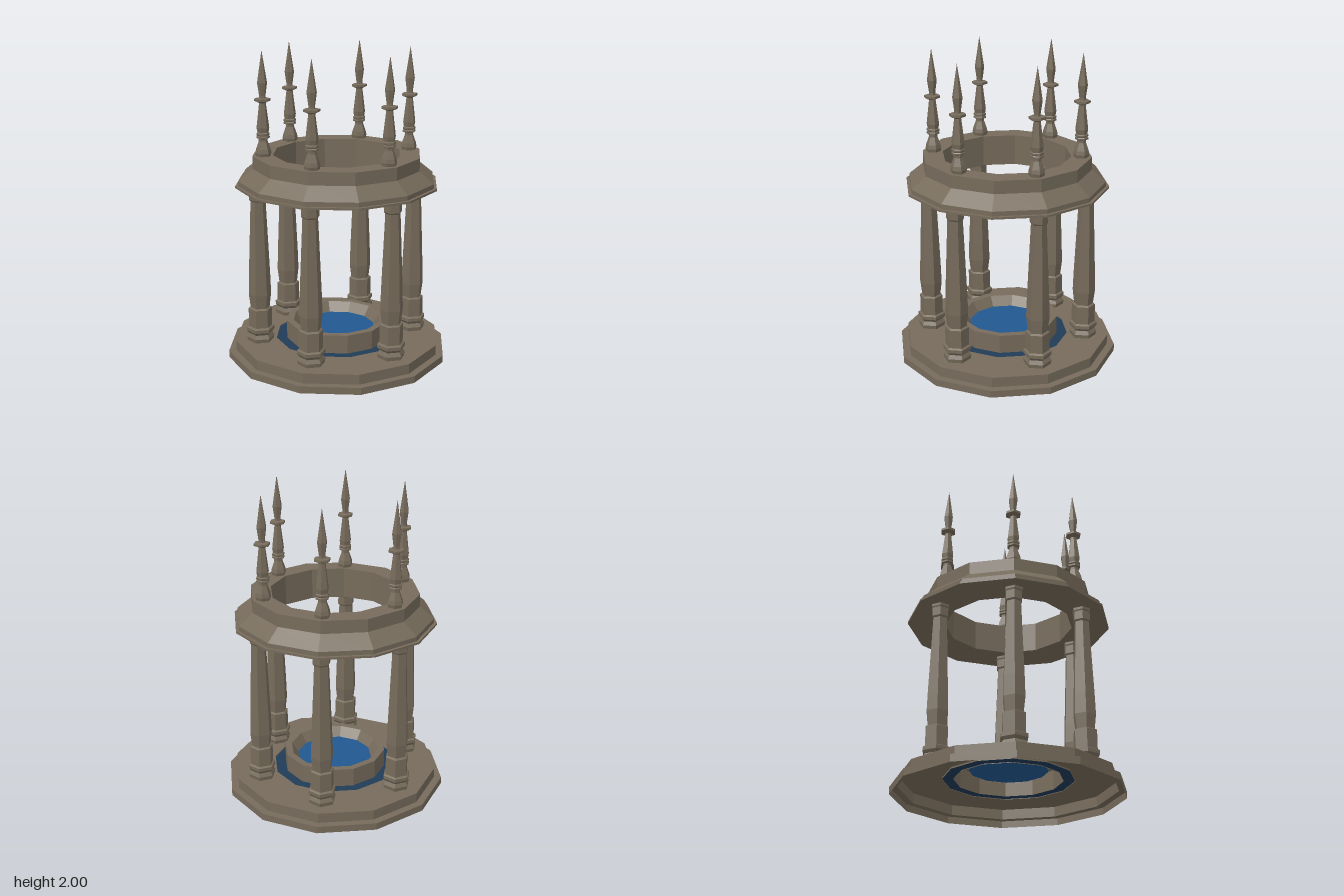
import * as THREE from 'three';

const stone = new THREE.MeshStandardMaterial({ color: 0x766b5b, flatShading: true, side: THREE.DoubleSide });
stone.name = 'stone';
const water = new THREE.MeshStandardMaterial({ color: 0x22588f, side: THREE.DoubleSide });
water.name = 'water';
const deepWater = new THREE.MeshStandardMaterial({ color: 0x203c58, side: THREE.DoubleSide });
deepWater.name = 'deepWater';

// Faceted turned part from [radius, height] points
function turned(name, profile, sides) {
  const points = profile.map(([r, y]) => new THREE.Vector2(r, y));
  const mesh = new THREE.Mesh(new THREE.LatheGeometry(points, sides), stone);
  mesh.name = name;
  return mesh;
}

// Horizontal twelve-sided sheet of water with a corner towards +z
function sheet(name, inner, outer, y, material) {
  const geometry = inner > 0
    ? new THREE.RingGeometry(inner, outer, 12)
    : new THREE.CircleGeometry(outer, 12);
  geometry.rotateX(-Math.PI / 2);
  const mesh = new THREE.Mesh(geometry, material);
  mesh.name = name;
  mesh.position.y = y;
  return mesh;
}

// Six copies of a hexagonal part around the centre, all facing the same way
function sixAround(group, name, profile, radius) {
  for (let i = 0; i < 6; i++) {
    const angle = i * Math.PI / 3;
    const part = turned(name, profile, 6);
    part.rotation.y = Math.PI / 6;
    part.position.set(radius * Math.cos(angle), 0, radius * Math.sin(angle));
    group.add(part);
  }
}

const columnProfile = [
  [0.085, 0.11], [0.09, 0.135], [0.076, 0.16], [0.09, 0.178], [0.09, 0.2],
  [0.076, 0.208], [0.076, 0.33], [0.062, 0.338], [0.073, 0.43], [0.069, 0.56],
  [0.048, 1.05], [0.056, 1.06], [0.056, 1.115], [0.06, 1.125], [0.06, 1.142],
];

const finialProfile = [
  [0.045, 1.335], [0.051, 1.36], [0.046, 1.385], [0.028, 1.435], [0.028, 1.45],
  [0.042, 1.455], [0.042, 1.465], [0.037, 1.47], [0.042, 1.475], [0.042, 1.485],
  [0.035, 1.49], [0.04, 1.52], [0.021, 1.675], [0.03, 1.68], [0.051, 1.688],
  [0.051, 1.702], [0.021, 1.706], [0.02, 1.72], [0.031, 1.8], [0, 2],
];

export function createModel() {
  const model = new THREE.Group();
  model.name = 'pavilion';

  // Stepped floor, open underneath, with a central opening
  model.add(turned('steppedBase', [
    [0.72, 0], [0.72, 0.045], [0.672, 0.045], [0.672, 0.11], [0.405, 0.11], [0.405, 0.1],
  ], 12));

  // Basin with a sloping inner lip
  model.add(turned('basin', [
    [0.335, 0.1], [0.335, 0.225], [0.29, 0.225], [0.245, 0.16],
  ], 12));
  model.add(sheet('moat', 0.335, 0.405, 0.104, deepWater));
  model.add(sheet('pool', 0, 0.247, 0.163, water));

  // Columns carrying the ring
  sixAround(model, 'column', columnProfile, 0.51);

  // Crowning ring with cornice
  model.add(turned('crownRing', [
    [0.41, 1.14], [0.652, 1.14], [0.652, 1.153], [0.632, 1.153], [0.632, 1.182],
    [0.54, 1.258], [0.54, 1.34], [0.41, 1.34], [0.41, 1.14],
  ], 12));

  // Spires on the ring
  sixAround(model, 'spire', finialProfile, 0.47);

  return model;
}
